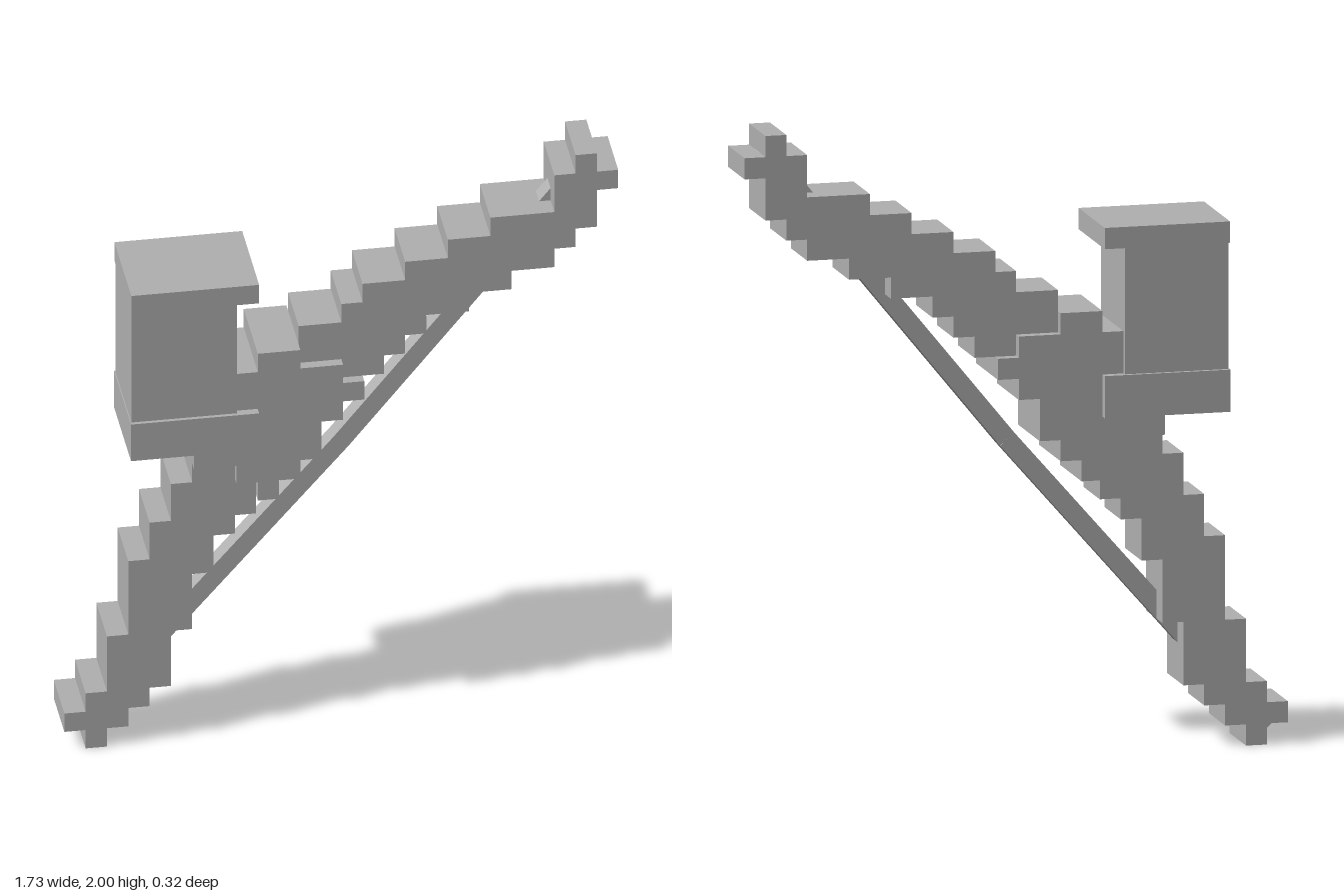
import * as THREE from 'three';

const U = 1 / 15; // step size of the blocky outline

export function createModel() {
  const model = new THREE.Group();
  const grey = new THREE.MeshStandardMaterial({ color: 0xb0b0b0 });
  grey.name = 'plain grey';

  const add = (name, geometry) => {
    const mesh = new THREE.Mesh(geometry, grey);
    mesh.name = name;
    model.add(mesh);
    return mesh;
  };

  // Extrudes a stepped outline, given in grid steps, evenly about z = 0
  const slab = (name, points, halfDepth) => {
    const shape = new THREE.Shape(points.map(([x, y]) => new THREE.Vector2(x * U, y * U)));
    const geometry = new THREE.ExtrudeGeometry(shape, { depth: halfDepth * 2, bevelEnabled: false });
    add(name, geometry.translate(0, 0, -halfDepth));
  };

  const block = (name, x0, x1, y0, y1, halfDepth) => {
    add(name, new THREE.BoxGeometry(x1 - x0, y1 - y0, halfDepth * 2))
      .position.set((x0 + x1) / 2, (y0 + y1) / 2, 0);
  };

  // Square bar between two points in the z = 0 plane
  const bar = (name, [x0, y0], [x1, y1], width) => {
    const mesh = add(name, new THREE.BoxGeometry(width, Math.hypot(x1 - x0, y1 - y0), width));
    mesh.position.set((x0 + x1) / 2, (y0 + y1) / 2, 0);
    mesh.rotation.z = -Math.atan2(x1 - x0, y1 - y0);
  };

  // Inner steps shared by the bow and its grip, from top to bottom
  const gripSteps = [
    [1, 18], [0, 18], [0, 17], [-1, 17], [-1, 15], [-2, 15], [-2, 14], [-3, 14], [-3, 13],
  ];

  // Bow body: outer steps going up, then inner steps going down
  slab('bowLimbs', [
    [-11, 0], [-12, 0], [-12, 1], [-13, 1], [-13, 2], [-12, 2], [-12, 3], [-11, 3], [-11, 6],
    [-10, 6], [-10, 10], [-9, 10], [-9, 12], [-8, 12], [-8, 14], [-7, 14], [-7, 16],
    [-5, 16], [-5, 20], [-4, 20], [-4, 21], [-2, 21], [-2, 22], [0, 22], [0, 23],
    [1, 23], [1, 24], [3, 24], [3, 25], [5, 25], [5, 26], [7, 26], [7, 27], [10, 27],
    [10, 29], [11, 29], [11, 30], [12, 30], [12, 29], [13, 29], [13, 28], [12, 28],
    [12, 26], [11, 26], [11, 25], [10, 25], [10, 24], [8, 24], [8, 23], [6, 23], [6, 22],
    [4, 22], [4, 21], [3, 21], [3, 20], [2, 20], [2, 19], [1, 19],
    ...gripSteps,
    [-4, 13], [-4, 12], [-5, 12], [-5, 11], [-6, 11], [-6, 9], [-7, 9], [-7, 6],
    [-8, 6], [-8, 3], [-9, 3], [-9, 2], [-10, 2], [-10, 1], [-11, 1],
  ], 0.1);

  // Thicker grip in the middle
  slab('grip', [
    ...gripSteps,
    [-4, 13], [-4, 14], [-5, 14], [-5, 15], [-7, 15], [-7, 16], [-5, 16], [-5, 20], [-4, 20],
    [-4, 21], [-2, 21], [-2, 20], [0, 20], [0, 19], [1, 19],
  ], 0.133);

  // Box on the outer side of the grip
  block('boxBase', -0.668, -0.267, 1.067, 1.2, 0.16);
  block('boxBody', -0.665, -0.335, 1.2, 1.6, 0.148);
  block('boxLid', -0.667, -0.267, 1.6, 1.667, 0.16);

  // String, slightly bent at its middle
  const middle = [0.01, 0.99];
  bar('lowerString', [-0.82, 0.04], middle, 0.06);
  bar('upperString', middle, [0.787, 1.945], 0.06);

  return model;
}
